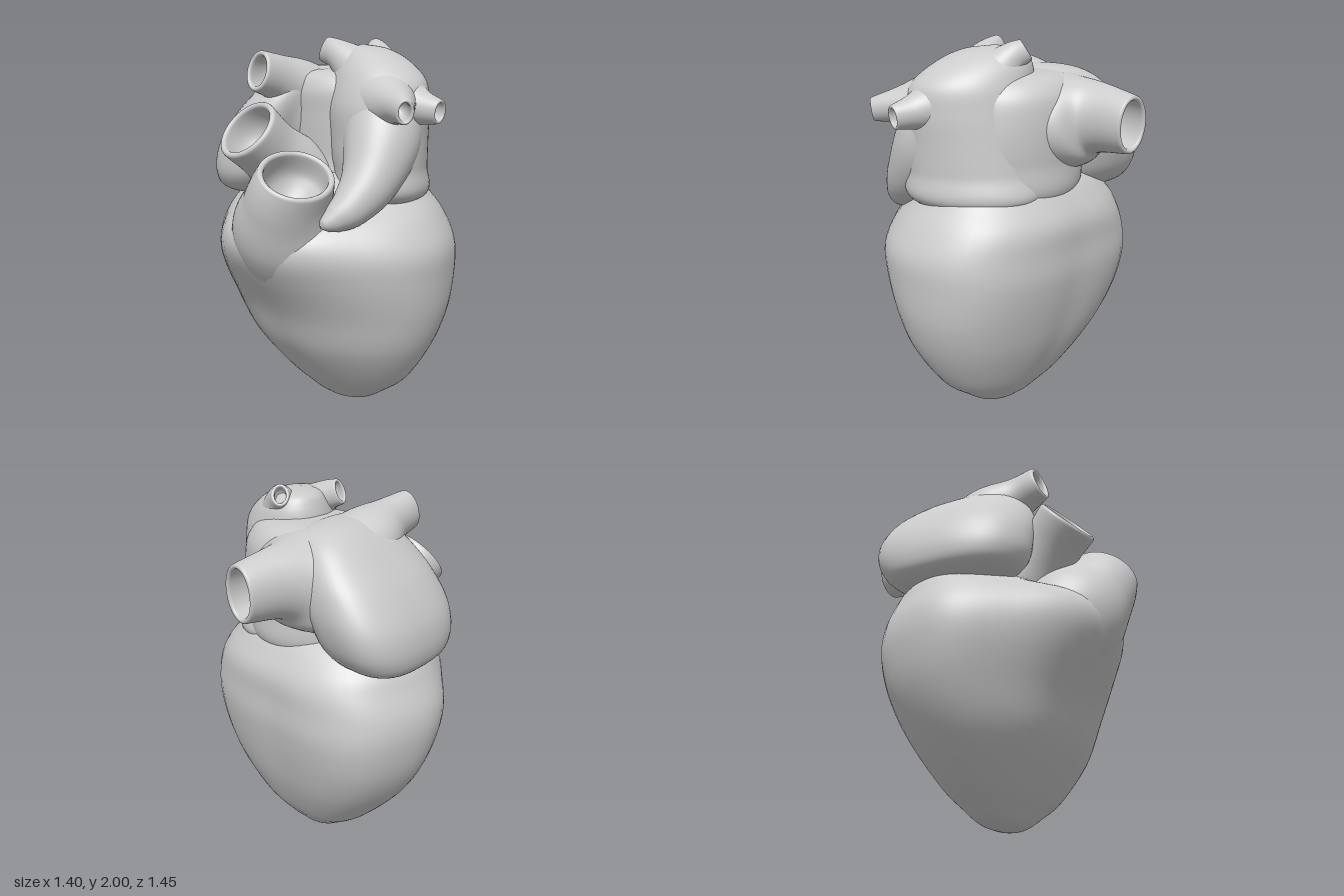
import * as THREE from 'three';

const V = (x, y, z) => new THREE.Vector3(x, y, z);
const material = new THREE.MeshStandardMaterial({ color: 0xcccccc, side: THREE.DoubleSide });
const SIDES = 64;

// Skin a list of rings { c, u, v, a, b } into one smooth surface.
function skin(name, rings, shape = () => 1) {
  const pos = [], index = [];
  rings.forEach((r, i) => {
    for (let j = 0; j < SIDES; j++) {
      const th = (j / SIDES) * Math.PI * 2;
      const k = shape(th, i / (rings.length - 1));
      const p = r.c.clone()
        .addScaledVector(r.u, r.a * k * Math.cos(th))
        .addScaledVector(r.v, r.b * k * Math.sin(th));
      pos.push(p.x, p.y, p.z);
      if (i < rings.length - 1) {
        const n = i * SIDES + ((j + 1) % SIDES), q = i * SIDES + j;
        index.push(q, n, q + SIDES, n, n + SIDES, q + SIDES);
      }
    }
  });
  const geo = new THREE.BufferGeometry();
  geo.setAttribute('position', new THREE.Float32BufferAttribute(pos, 3));
  geo.setIndex(index);
  geo.computeVertexNormals();
  const mesh = new THREE.Mesh(geo, material);
  mesh.name = name;
  return mesh;
}

// Smoothly interpolate sections [x, y, z, halfWidth, halfDepth].
function sample(sections, steps) {
  const path = new THREE.CatmullRomCurve3(sections.map(s => V(s[0], s[1], s[2])), false, 'catmullrom');
  const size = new THREE.CatmullRomCurve3(sections.map(s => V(s[3], s[4] ?? s[3], 0)), false, 'catmullrom');
  return Array.from({ length: steps + 1 }, (_, i) => {
    const s = size.getPoint(i / steps);
    return {
      c: path.getPoint(i / steps), t: path.getTangent(i / steps),
      a: Math.max(s.x, 0.001), b: Math.max(s.y, 0.001),
    };
  });
}

// Chamber: stacked horizontal sections, x sheared along z.
function chamber(name, sections, shear = 0, shape) {
  const u = V(1, 0, 0), v = V(-shear, 0, -1);
  return skin(name, sample(sections, 72).map(r => ({ ...r, u, v })), shape);
}

// Vessel: sections square to the path; a wall > 0 adds a rounded rim and a bowl-ended bore.
function vessel(name, sections, wall = 0, ref = V(0, 1, 0)) {
  const rings = sample(sections, 36).map(r => {
    const u = ref.clone().cross(r.t).normalize();
    return { ...r, u, v: r.t.clone().cross(u) };
  });
  if (wall) {
    const outer = rings.slice(), tip = outer[outer.length - 1];
    for (let k = 1; k <= 6; k++) {
      const ang = (k / 6) * Math.PI, inset = wall * 0.5 * (1 - Math.cos(ang));
      rings.push({
        ...tip, a: tip.a - inset, b: tip.b - inset,
        c: tip.c.clone().addScaledVector(tip.t, wall * 0.5 * Math.sin(ang)),
      });
    }
    for (let k = 1; k <= 14; k++) {
      const r = outer[outer.length - 1 - k], f = 1.001 - (k / 14) ** 4;
      rings.push({ ...r, a: (Math.min(r.a, tip.a) - wall) * f, b: (Math.min(r.b, tip.b) - wall) * f });
    }
  }
  return skin(name, rings);
}

const bump = (x, at, w) => Math.exp(-(((x - at) / w) ** 2));

export function createModel() {
  const heart = new THREE.Group();
  heart.name = 'heart';
  const xRef = V(1, 0, 0);

  // Ventricles: front swelling, full back corners, shallow grooves front and back
  heart.add(chamber('ventricles', [
    [0.09, 0, -0.05, 0.001, 0.001], [0.08, 0.03, -0.05, 0.15, 0.09],
    [0.08, 0.1, -0.045, 0.265, 0.165], [0.075, 0.2, -0.035, 0.395, 0.25],
    [0.045, 0.4, -0.01, 0.555, 0.37], [0.02, 0.6, 0, 0.65, 0.44],
    [0.005, 0.8, 0.02, 0.69, 0.5], [0.005, 0.95, 0.025, 0.69, 0.51],
    [0, 1.08, 0, 0.635, 0.485], [-0.01, 1.18, -0.04, 0.57, 0.4],
    [0, 1.28, -0.06, 0.45, 0.3], [0, 1.36, -0.05, 0.2, 0.15], [0, 1.38, -0.05, 0.001, 0.001],
  ], 0, (th, s) => 1
    + 0.3 * bump(th, 4.75, 0.5) * bump(s, 0.64, 0.17)
    + 0.11 * bump(th, 0.85, 0.45) * bump(s, 0.48, 0.3)
    + 0.12 * bump(th, 2.35, 0.4) * bump(s, 0.48, 0.3)
    - 0.05 * bump(th, 3.85, 0.4) * bump(s, 0.5, 0.3)
    - (1 - s) * (0.06 * bump(th, 4.35 + 0.6 * s, 0.2) + 0.05 * bump(th, 1.7, 0.18))));

  // Outflow rising from the front swelling into the pulmonary trunk
  heart.add(vessel('pulmonaryTrunk', [
    [-0.04, 0.74, 0.13, 0.24], [0.02, 0.94, 0.3, 0.3], [0.07, 1.09, 0.425, 0.295, 0.285],
    [0.14, 1.22, 0.5, 0.24, 0.215], [0.21, 1.34, 0.532, 0.202, 0.182],
  ], 0.032, xRef));

  // Aorta, leaning forward
  heart.add(vessel('aorta', [
    [-0.06, 1.15, 0.08, 0.26], [-0.08, 1.32, 0.25, 0.2],
    [-0.1, 1.43, 0.38, 0.165], [-0.12, 1.54, 0.51, 0.17],
  ], 0.032, xRef));

  // Right atrium: boxy plan with its front inner corner cut away
  const boxy = th => (Math.abs(Math.cos(th)) ** 2.7 + Math.abs(Math.sin(th)) ** 2.7) ** (-1 / 2.7);
  heart.add(chamber('rightAtrium', [
    [-0.43, 1.13, 0.03, 0.001, 0.001], [-0.43, 1.18, 0.03, 0.19, 0.27],
    [-0.4, 1.27, 0.02, 0.275, 0.38], [-0.365, 1.42, -0.005, 0.295, 0.415],
    [-0.275, 1.58, -0.03, 0.295, 0.4], [-0.2, 1.71, -0.05, 0.25, 0.35],
    [-0.165, 1.8, -0.06, 0.18, 0.28], [-0.165, 1.845, -0.05, 0.09, 0.17], [-0.165, 1.855, -0.04, 0.001, 0.001],
  ], 0.2, th => boxy(th) * (1 - 0.28 * bump(th, 5.45, 0.5))));

  // Wall joining the two atria
  heart.add(chamber('atrialBridge', [
    [0.03, 1.12, -0.11, 0.001, 0.001], [0.03, 1.2, -0.11, 0.32, 0.28],
    [0.03, 1.4, -0.12, 0.38, 0.3], [0.03, 1.6, -0.12, 0.38, 0.31],
    [0.02, 1.74, -0.11, 0.36, 0.3], [0.01, 1.82, -0.1, 0.26, 0.22], [0.01, 1.84, -0.1, 0.001, 0.001],
  ]));

  // Great veins at the two ends of the right atrium
  heart.add(vessel('frontVein', [
    [-0.18, 1.64, -0.12, 0.22, 0.18], [-0.18, 1.73, 0.08, 0.19, 0.16],
    [-0.17, 1.79, 0.24, 0.11, 0.12], [-0.17, 1.825, 0.37, 0.078, 0.105],
  ], 0.025));
  heart.add(vessel('backVein', [
    [-0.16, 1.55, -0.16, 0.36, 0.26], [-0.15, 1.585, -0.34, 0.31, 0.24],
    [-0.17, 1.61, -0.48, 0.16, 0.18], [-0.17, 1.6, -0.7, 0.105, 0.143],
  ], 0.025));

  // Left atrium
  heart.add(chamber('leftAtrium', [
    [0.3, 1.1, -0.08, 0.001, 0.001], [0.29, 1.2, -0.08, 0.25, 0.3],
    [0.275, 1.35, -0.06, 0.28, 0.31], [0.27, 1.5, -0.05, 0.295, 0.3],
    [0.27, 1.65, -0.04, 0.305, 0.285], [0.265, 1.78, -0.05, 0.285, 0.25],
    [0.215, 1.88, -0.07, 0.215, 0.2], [0.165, 1.94, -0.08, 0.125, 0.13], [0.15, 1.96, -0.08, 0.001, 0.001],
  ], 0.3));

  // Drooping ear of the left atrium
  heart.add(vessel('leftAuricle', [
    [0.36, 1.66, 0.01, 0.2], [0.41, 1.47, 0.12, 0.19], [0.43, 1.31, 0.24, 0.145],
    [0.41, 1.2, 0.355, 0.105], [0.375, 1.145, 0.44, 0.07], [0.35, 1.12, 0.5, 0.03], [0.345, 1.115, 0.515, 0.001],
  ], 0, xRef));

  // Four small veins of the left atrium: root, neck, tip
  [
    [[0.22, 1.79, -0.01, 0.16], [0.1, 1.895, 0.035, 0.085], [0.005, 1.935, 0.05, 0.042, 0.065]],
    [[0.25, 1.76, -0.12, 0.16], [0.165, 1.89, -0.2, 0.085], [0.105, 1.94, -0.25, 0.045, 0.058]],
    [[0.38, 1.7, -0.01, 0.19], [0.56, 1.66, 0.02, 0.095], [0.685, 1.64, 0.035, 0.048, 0.06]],
    [[0.38, 1.68, 0.06, 0.19], [0.54, 1.67, 0.18, 0.095], [0.645, 1.65, 0.27, 0.045, 0.06]],
  ].forEach((s, i) => heart.add(vessel('smallVein' + (i + 1), s, 0.016)));

  return heart;
}
